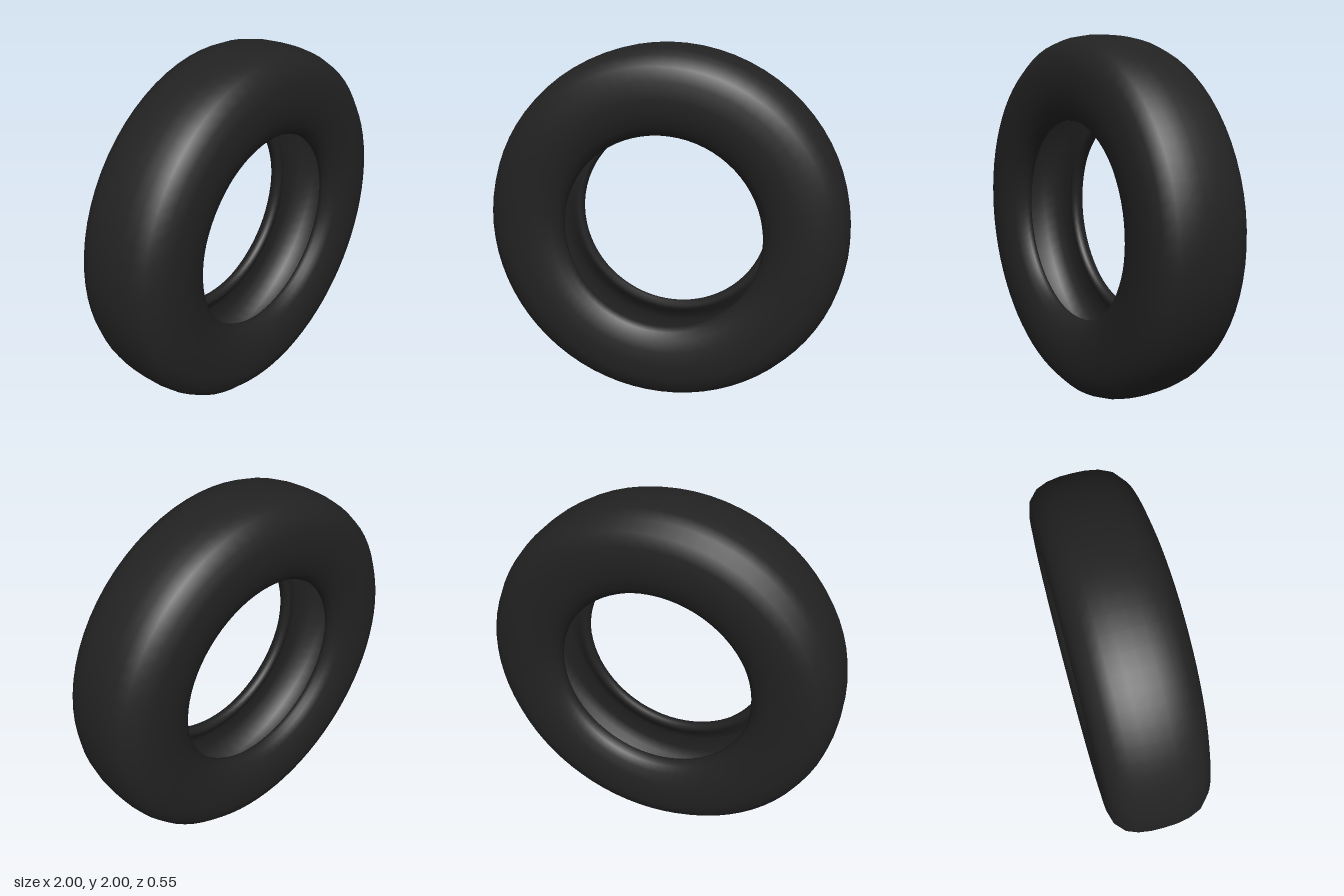
import * as THREE from 'three';

export function createModel() {
  const group = new THREE.Group();
  group.name = 'tyre';
  const rubber = new THREE.MeshStandardMaterial({ color: 0x222222 });
  rubber.name = 'black rubber';

  // Half cross-section as [radius, z], from the middle of the tread,
  // down the sidewall, round the bead and back up the hollow inside.
  const half = [
    [1.0, 0], [0.998, 0.07], [0.987, 0.14], [0.963, 0.2], [0.91, 0.25],
    [0.84, 0.27], [0.75, 0.275], [0.67, 0.265], [0.605, 0.243],
    [0.567, 0.215], [0.551, 0.185], [0.553, 0.16], [0.57, 0.145],
    [0.6, 0.15], [0.64, 0.19], [0.7, 0.215], [0.8, 0.215],
    [0.87, 0.195], [0.92, 0.13], [0.935, 0.06], [0.938, 0],
  ];

  // Mirror to a closed loop whose seam lies in the middle of the inner liner.
  const back = half.slice(1).reverse().map(([r, z]) => [r, -z]);
  const profile = [...back, ...half].map(([r, z]) => new THREE.Vector2(r, z));

  // Spin about y, then turn the axle to face the front.
  const geometry = new THREE.LatheGeometry(profile, 72);
  geometry.rotateX(Math.PI / 2);
  const tyre = new THREE.Mesh(geometry, rubber);
  tyre.name = 'tyreCasing';
  tyre.position.y = 1;
  group.add(tyre);
  return group;
}
